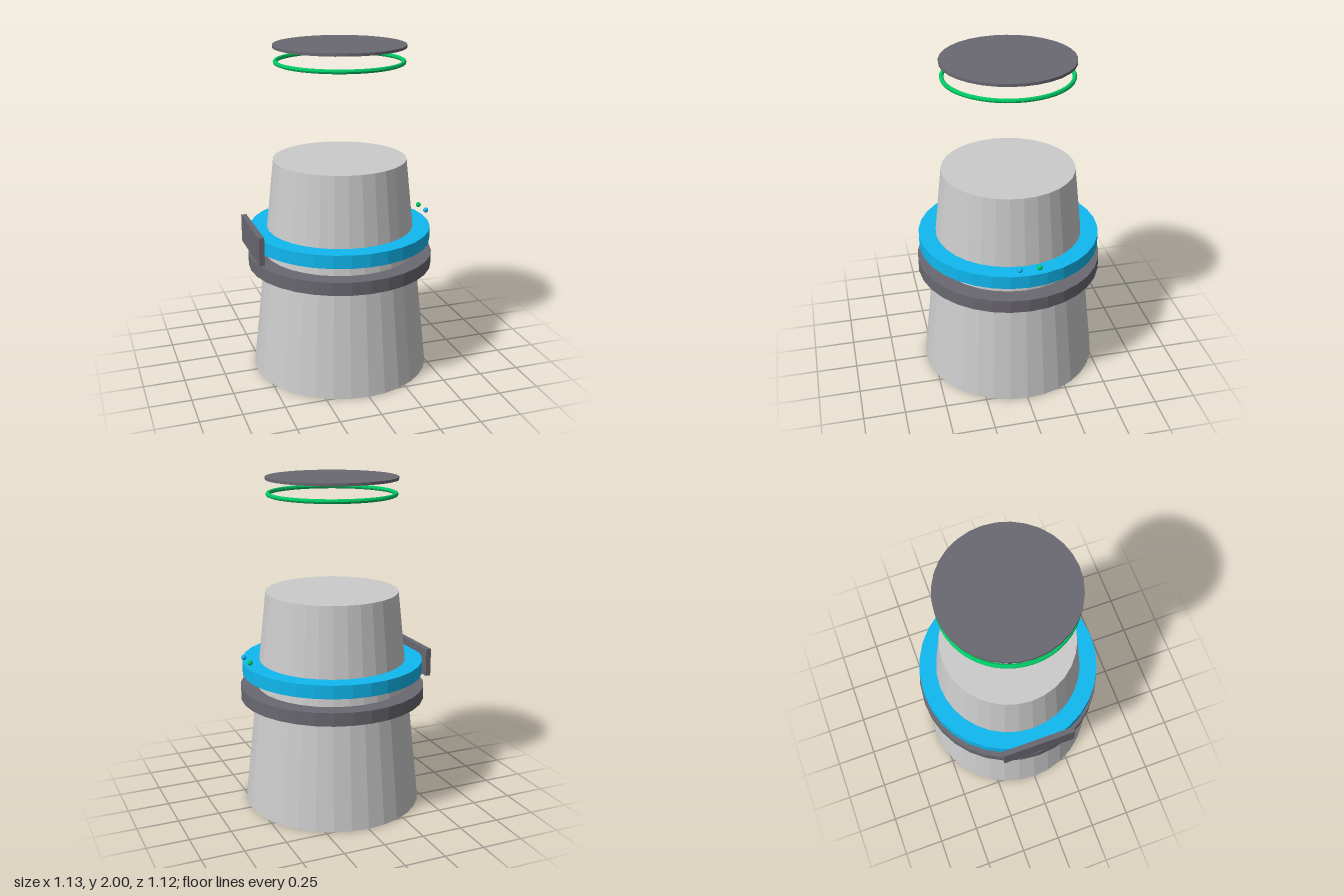
import * as THREE from 'three';

const SIDES = 32;

function material(color) {
  return new THREE.MeshStandardMaterial({ color, flatShading: true });
}

export function createModel() {
  const model = new THREE.Group();
  const grey = material(0xcccccc);
  const dark = material(0x6a6870);
  const blue = material(0x10b8f0);
  const green = material(0x00c864);

  function add(name, geometry, mat, x, y, z) {
    const mesh = new THREE.Mesh(geometry, mat);
    mesh.name = name;
    mesh.position.set(x, y, z);
    model.add(mesh);
    return mesh;
  }

  // Cylinder or cone given by its bottom and top heights
  function drum(name, rTop, rBottom, y0, y1, mat) {
    return add(name, new THREE.CylinderGeometry(rTop, rBottom, y1 - y0, SIDES), mat, -0.002, (y0 + y1) / 2, 0);
  }

  // Tapered body with two collars
  drum('body', 0.4, 0.543, 0, 1.323, grey);
  drum('lowerCollar', 0.562, 0.562, 0.667, 0.747, dark);
  drum('upperCollar', 0.55, 0.55, 0.825, 0.905, blue);

  // Floating lid and the ring beneath it
  drum('lid', 0.39, 0.39, 1.984, 2, dark);
  const ring = add('sealRing', new THREE.TorusGeometry(0.374, 0.013, 8, 48), green, -0.002, 1.9, 0);
  ring.rotation.x = Math.PI / 2;

  // Flat panel on the right side
  add('sidePanel', new THREE.BoxGeometry(0.032, 0.17, 0.455), dark, -0.549, 0.865, 0);

  // Pair of indicator beads on the left side
  const bead = new THREE.SphereGeometry(0.016, 16, 12);
  add('frontBead', bead, blue, 0.545, 0.952, 0.058);
  add('backBead', bead, green, 0.545, 0.952, -0.058);

  return model;
}
